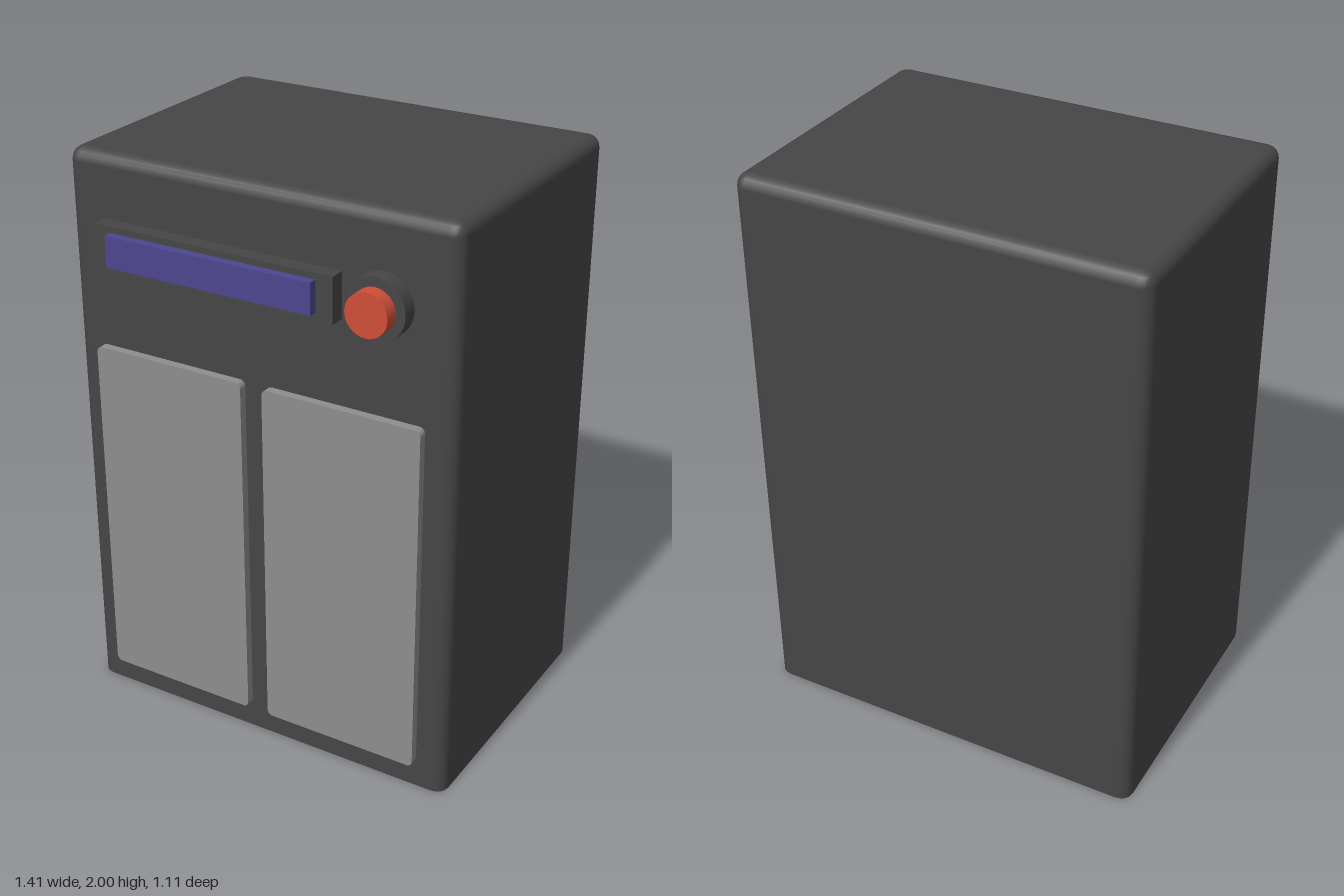
import * as THREE from 'three';
import { RoundedBoxGeometry } from 'three/addons/geometries/RoundedBoxGeometry.js';

const material = (color) => new THREE.MeshStandardMaterial({ color });
const dark = material(0x464646);
const grey = material(0x8e8e8e);
const blue = material(0x4c478f);
const red = material(0xcf4f37);

const FRONT = 0.45, BACK = -0.557, HALF_WIDTH = 0.704;

// Box with rounded vertical and top edges; the lower rounding is pressed flat at y = 0
function cabinetGeometry() {
  const r = 0.044, height = 2 + r;
  const geo = new RoundedBoxGeometry(HALF_WIDTH * 2, height, FRONT - BACK, 2, r);
  geo.translate(0, 2 - height / 2, (FRONT + BACK) / 2);
  const pos = geo.attributes.position, normal = geo.attributes.normal;
  for (let i = 0; i < pos.count; i += 3) {
    const corners = [i, i + 1, i + 2];
    const onBottom = corners.every((k) => pos.getY(k) < 1e-4);
    for (const k of corners) {
      pos.setY(k, Math.max(0, pos.getY(k)));
      if (onBottom) normal.setXYZ(k, 0, -1, 0);
    }
  }
  return geo;
}

// Flat panel with rounded corners, extruded forward
function panelGeometry(w, h, depth, r) {
  const s = new THREE.Shape();
  const x = w / 2, y = h / 2;
  s.absarc(x - r, y - r, r, 0, Math.PI / 2);
  s.absarc(-x + r, y - r, r, Math.PI / 2, Math.PI);
  s.absarc(-x + r, -y + r, r, Math.PI, Math.PI * 1.5);
  s.absarc(x - r, -y + r, r, Math.PI * 1.5, Math.PI * 2);
  s.closePath();
  return new THREE.ExtrudeGeometry(s, { depth, bevelEnabled: false, curveSegments: 4 });
}

export function createModel() {
  const model = new THREE.Group();
  const add = (name, geometry, mat, x = 0, y = 0, z = 0) => {
    const mesh = new THREE.Mesh(geometry, mat);
    mesh.name = name;
    mesh.position.set(x, y, z);
    model.add(mesh);
  };
  // Box and disc given by their back and front depth
  const slab = (name, mat, x0, x1, y0, y1, z0, z1) =>
    add(name, new THREE.BoxGeometry(x1 - x0, y1 - y0, z1 - z0), mat,
      (x0 + x1) / 2, (y0 + y1) / 2, (z0 + z1) / 2);
  const disc = (name, mat, r, x, y, z0, z1) =>
    add(name, new THREE.CylinderGeometry(r, r, z1 - z0, 32).rotateX(Math.PI / 2), mat,
      x, y, (z0 + z1) / 2);

  add('cabinet', cabinetGeometry(), dark);

  // Pair of front doors
  for (const [name, x] of [['rightDoor', -0.325], ['leftDoor', 0.32]]) {
    add(name, panelGeometry(0.565, 1.245, 0.05, 0.02), grey, x, 0.717, FRONT - 0.02);
  }

  // Display
  slab('displayFrame', dark, -0.563, 0.312, 1.63, 1.784, FRONT - 0.02, 0.504);
  slab('displayScreen', blue, -0.504, 0.252, 1.657, 1.763, 0.49, 0.535);

  // Push button
  disc('buttonBase', dark, 0.104, 0.453, 1.71, FRONT - 0.02, 0.504);
  disc('button', red, 0.072, 0.453, 1.71, 0.49, 0.555);

  return model;
}
